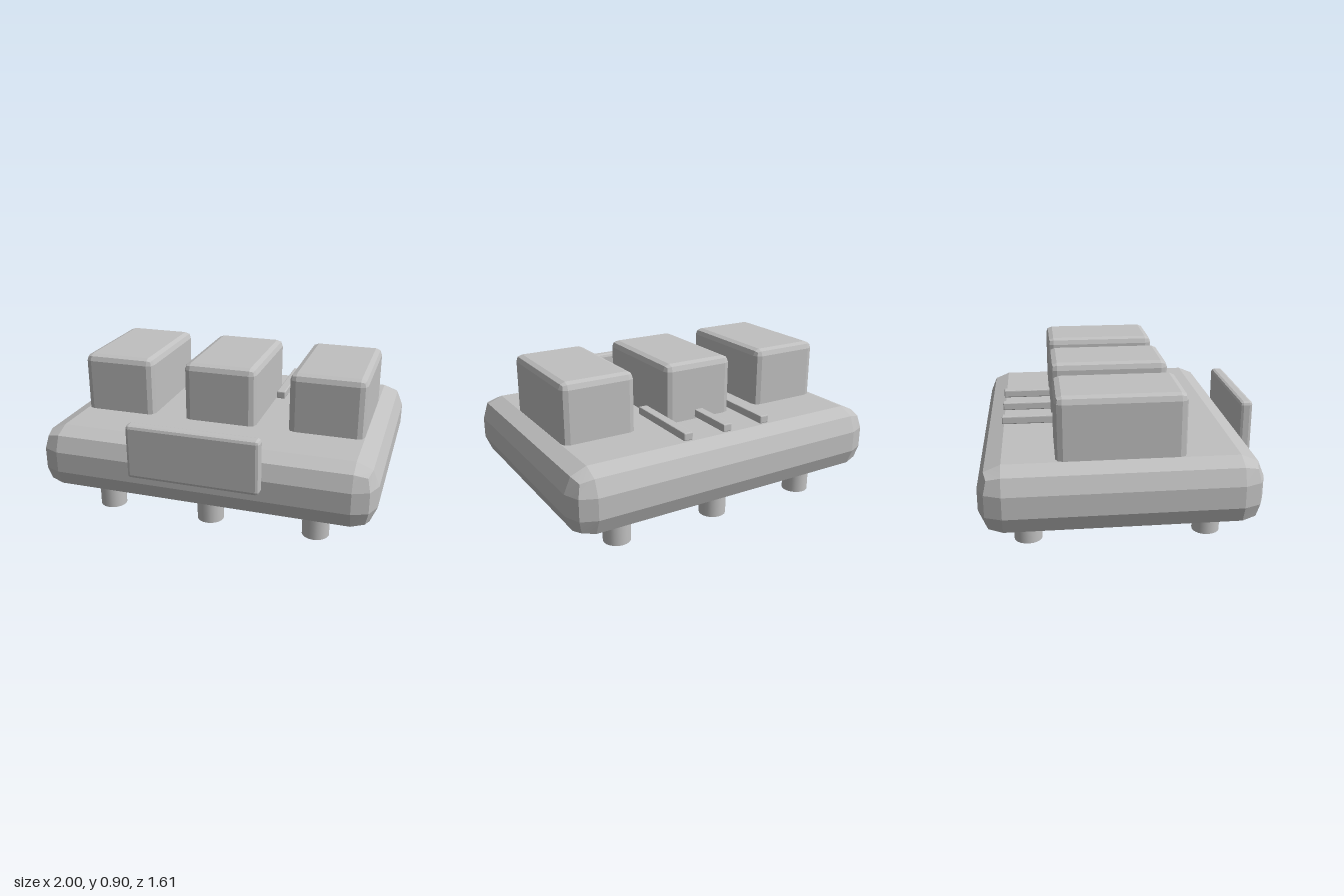
import * as THREE from 'three';
import { RoundedBoxGeometry } from 'three/addons/geometries/RoundedBoxGeometry.js';
import { toCreasedNormals } from 'three/addons/utils/BufferGeometryUtils.js';

const grey = new THREE.MeshStandardMaterial({ color: 0xc0c0c0 });
grey.name = 'plain grey';

// Box with a two-step bevel, fitted exactly between two corners
function bevelBox(name, min, max, bevel) {
  const lo = new THREE.Vector3(...min), hi = new THREE.Vector3(...max);
  const size = hi.clone().sub(lo);
  let geo = new RoundedBoxGeometry(size.x, size.y, size.z, 1, bevel);
  geo.computeBoundingBox();
  const got = geo.boundingBox.getSize(new THREE.Vector3());
  geo.scale(size.x / got.x, size.y / got.y, size.z / got.z);
  geo = toCreasedNormals(geo, 0.2);
  const mesh = new THREE.Mesh(geo, grey);
  mesh.name = name;
  mesh.position.copy(lo).add(hi).multiplyScalar(0.5);
  return mesh;
}

export function createModel() {
  const model = new THREE.Group();
  model.name = 'block device';

  // Main slab and the plate on its front
  model.add(bevelBox('body', [-1, 0.165, -0.805], [1, 0.55, 0.735], 0.13));
  model.add(bevelBox('frontPlate', [-0.385, 0.36, 0.73], [0.385, 0.68, 0.805], 0.02));

  for (const [i, side] of ['right', 'middle', 'left'].entries()) {
    const s = i - 1;

    // Large block on top
    const x = s * 0.645;
    model.add(bevelBox(side + 'Block', [x - 0.223, 0.5, -0.39], [x + 0.223, 0.9, 0.315], 0.04));

    // Thin bar behind the blocks
    const b = s * 0.26;
    model.add(bevelBox(side + 'Bar', [b - 0.028, 0.56, -0.685], [b + 0.028, 0.607, -0.175], 0.006));

    // Front and back legs
    for (const [end, z] of [['Front', 0.48], ['Back', -0.55]]) {
      const leg = new THREE.Mesh(new THREE.CylinderGeometry(0.08, 0.08, 0.2, 20), grey);
      leg.name = side + end + 'Leg';
      leg.position.set(x, 0.1, z);
      model.add(leg);
    }
  }
  return model;
}
